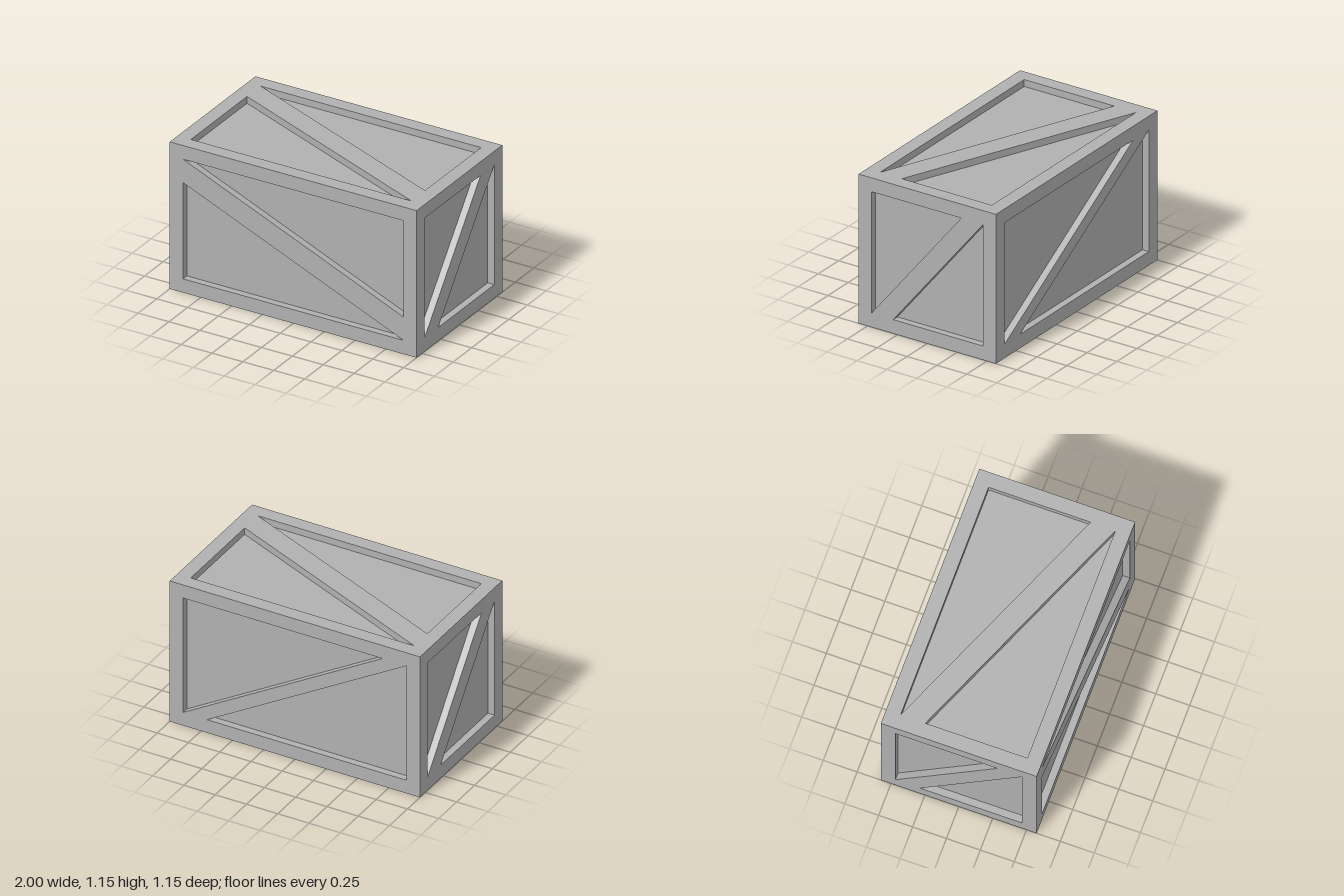
import * as THREE from 'three';

const L = 2, S = 1.15;     // crate length, and its square section
const RIM = 0.107;         // width of the frame boards
const DEPTH = 0.053;       // how far the panels sit back

// Triangular opening plus its twin, turned half a turn about the centre.
function addOpenings(shape, tri) {
  for (const s of [1, -1]) {
    shape.holes.push(new THREE.Path(tri.map(([x, y]) => new THREE.Vector2(s * x, s * y))));
  }
}

// Frame of boards with a diagonal brace; rear outer edge is mitred to meet its neighbours.
function frameGeometry(w, h, tri) {
  const x = w / 2, y = h / 2;
  const shape = new THREE.Shape([[-x, -y], [x, -y], [x, y], [-x, y]].map(p => new THREE.Vector2(...p)));
  addOpenings(shape, tri);
  const geo = new THREE.ExtrudeGeometry(shape, { depth: DEPTH, bevelEnabled: false });
  const pos = geo.attributes.position;
  for (let i = 0; i < pos.count; i++) {
    const px = pos.getX(i), py = pos.getY(i);
    if (pos.getZ(i) < DEPTH / 2 && Math.abs(px) > x - 1e-4) {
      pos.setX(i, px - Math.sign(px) * DEPTH);
      pos.setY(i, py - Math.sign(py) * DEPTH);
    }
  }
  geo.computeVertexNormals();
  return geo;
}

export function createModel() {
  const grey = new THREE.MeshStandardMaterial({ color: 0xb0b0b0 });
  grey.name = 'grey';
  const crate = new THREE.Group();
  crate.name = 'crate';

  // Recessed panels are the faces of one inner box
  const core = new THREE.Mesh(
    new THREE.BoxGeometry(L - 2 * DEPTH, S - 2 * DEPTH, S - 2 * DEPTH), grey);
  core.name = 'recessedPanels';
  core.position.y = S / 2;
  crate.add(core);

  // Openings: falling brace, rising brace on the back, rising brace on the ends
  const a = L / 2 - RIM, b = S / 2 - RIM, t = 0.285;
  const falling = frameGeometry(L, S, [[-a, b], [a, b], [a, -t]]);
  const rising = frameGeometry(L, S, [[-a, b], [0.7, b], [-a, -b]]);
  const end = frameGeometry(S, S, [[-b, b], [t, b], [-b, -b]]);

  const Q = Math.PI / 2;
  const sides = [
    ['frontFrame', falling, 0, 0, S],
    ['backFrame', rising, 0, 2 * Q, S],
    ['topFrame', falling, -Q, 0, S],
    ['bottomFrame', falling, Q, 0, S],
    ['leftFrame', end, 0, Q, L],
    ['rightFrame', end, 0, -Q, L],
  ];
  for (const [name, geo, rx, ry, span] of sides) {
    const frame = new THREE.Mesh(geo, grey);
    frame.name = name;
    frame.rotation.set(rx, ry, 0);
    frame.position.set(0, 0, span / 2 - DEPTH).applyEuler(frame.rotation);
    frame.position.y += S / 2;
    crate.add(frame);
  }
  return crate;
}
